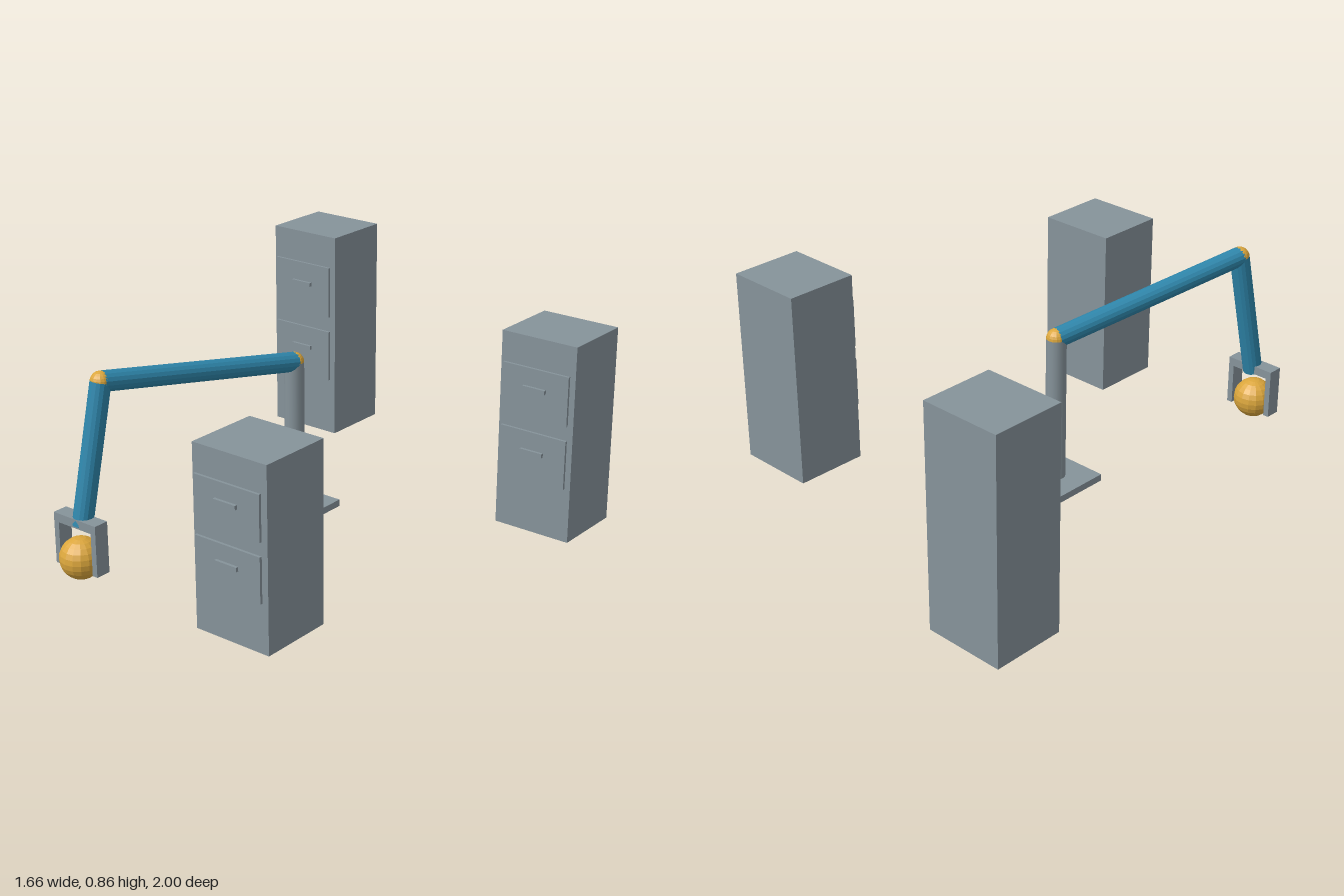
import * as THREE from 'three';

const grey = new THREE.MeshStandardMaterial({ color: 0x86939a });
grey.name = 'grey metal';
const blue = new THREE.MeshStandardMaterial({ color: 0x2e86ab, flatShading: true });
blue.name = 'blue arm paint';
const gold = new THREE.MeshStandardMaterial({ color: 0xdba63c, flatShading: true });
gold.name = 'golden yellow';
const pipeGrey = grey;

function add(parent, name, geometry, material, x, y, z) {
  const mesh = new THREE.Mesh(geometry, material);
  mesh.name = name;
  mesh.position.set(x, y, z);
  parent.add(mesh);
  return mesh;
}

const box = (parent, name, w, h, d, x, y, z) =>
  add(parent, name, new THREE.BoxGeometry(w, h, d), grey, x, y, z);

// Cylinder running between two points
function rod(parent, name, a, b, radius, material) {
  const dir = b.clone().sub(a);
  const mid = a.clone().add(b).multiplyScalar(0.5);
  const mesh = add(parent, name, new THREE.CylinderGeometry(radius, radius, dir.length(), 16), material, mid.x, mid.y, mid.z);
  mesh.quaternion.setFromUnitVectors(new THREE.Vector3(0, 1, 0), dir.normalize());
  return mesh;
}

// Cabinet with two drawers; front is the z of its front face
function cabinet(x, height, front) {
  const group = new THREE.Group();
  group.name = 'filingCabinet';
  group.position.set(x, 0, front);
  box(group, 'cabinetBody', 0.317, height, 0.287, 0, height / 2, -0.1435);
  for (const level of [0.405, 0.728]) {
    box(group, 'drawerFront', 0.28, height * 0.248, 0.01, 0, height * level, 0.013);
    box(group, 'drawerHandle', 0.095, 0.016, 0.012, 0, height * (level + 0.023), 0.023);
  }
  return group;
}

export function createModel() {
  const model = new THREE.Group();
  model.name = 'robotArmOffice';

  model.add(
    cabinet(-0.673, 0.861, -0.713),
    cabinet(0.671, 0.768, -0.4),
    cabinet(0.359, 0.68, 0.945)
  );

  // Jointed arm on a pedestal
  const arm = new THREE.Group();
  arm.name = 'robotArm';
  model.add(arm);
  const foot = new THREE.Vector3(-0.159, 0.027, -0.014);
  const shoulder = new THREE.Vector3(-0.159, 0.602, -0.014);
  const elbow = new THREE.Vector3(-0.346, 0.721, 0.811);
  const wrist = new THREE.Vector3(-0.367, 0.204, 0.912);
  const r = 0.038;
  box(arm, 'basePlate', 0.245, 0.027, 0.245, foot.x, 0.0135, foot.z);
  rod(arm, 'pedestal', foot, shoulder, r, pipeGrey);
  rod(arm, 'upperArm', shoulder, elbow, r, blue);
  rod(arm, 'forearm', elbow, wrist, r, blue);
  for (const [name, p] of [['shoulderJoint', shoulder], ['elbowJoint', elbow]]) {
    add(arm, name, new THREE.SphereGeometry(r, 16, 12), gold, p.x, p.y, p.z);
  }

  // Gripper: crossbar with two fingers
  const gripper = new THREE.Group();
  gripper.name = 'gripper';
  gripper.position.set(-0.373, 0, 0.915);
  arm.add(gripper);
  box(gripper, 'gripperBar', 0.205, 0.034, 0.06, 0, 0.22, 0);
  for (const side of [-1, 1]) {
    box(gripper, 'gripperFinger', 0.023, 0.163, 0.06, side * 0.091, 0.1215, 0);
  }

  add(model, 'ball', new THREE.SphereGeometry(0.079, 16, 12), gold, -0.373, 0.08, 0.921);
  return model;
}
